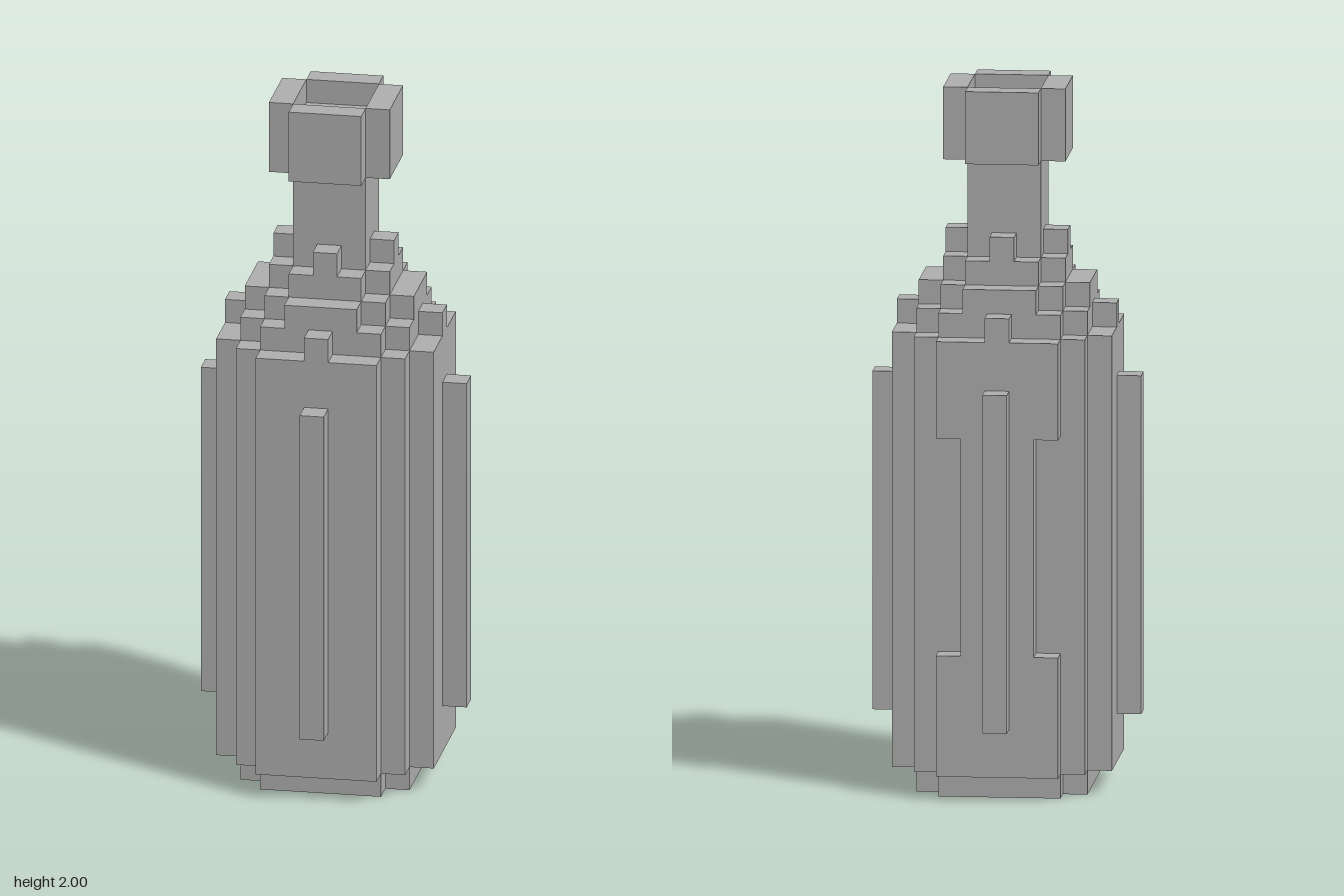
import * as THREE from 'three';

const U = 2 / 29; // one block

export function createModel() {
  const bottle = new THREE.Group();
  bottle.name = 'bottle';
  const grey = new THREE.MeshStandardMaterial({ color: 0xb0b0b0 });
  grey.name = 'grey';

  const add = (name, geometry) => {
    const mesh = new THREE.Mesh(geometry, grey);
    mesh.name = name;
    bottle.add(mesh);
    return mesh;
  };

  // Slab with a stepped outline: one corner of half sizes, turned four times
  const slab = (name, steps, y0, y1, holeHalf = 0) => {
    const corner = [];
    steps.forEach(([x, z], i) => {
      if (i) corner.push([x, steps[i - 1][1]]);
      corner.push([x, z]);
    });
    const outline = [];
    for (let q = 0; q < 4; q++) {
      for (let [x, z] of corner) {
        for (let k = 0; k < q; k++) [x, z] = [-z, x];
        outline.push(new THREE.Vector2(x * U, z * U));
      }
    }
    const shape = new THREE.Shape(outline);
    if (holeHalf) {
      const h = holeHalf * U;
      shape.holes.push(new THREE.Path([[-h, -h], [-h, h], [h, h], [h, -h]].map(p => new THREE.Vector2(...p))));
    }
    const g = new THREE.ExtrudeGeometry(shape, { depth: (y1 - y0) * U, bevelEnabled: false });
    g.rotateX(-Math.PI / 2).translate(0, y0 * U, 0);
    add(name, g);
  };

  // Box one block thick whose outer face lies on the given side (0 front, 1 left, 2 back, 3 right)
  const plate = (name, side, width, y0, y1, inner) => {
    const g = new THREE.BoxGeometry(width * U, (y1 - y0) * U, U);
    g.translate(0, (y0 + y1) / 2 * U, (inner + 0.5) * U);
    add(name, g).rotation.y = side * Math.PI / 2;
  };

  // Foot, body core and stepped shoulder
  slab('foot', [[3.5, 2.5], [2.5, 3.5]], 0, 1);
  slab('bodyCore', [[3.5, 3.5]], 1, 19);
  slab('lowerShoulder', [[3.5, 2.5], [2.5, 3.5]], 19, 20);
  slab('middleShoulder', [[3.5, 1.5], [2.5, 2.5], [1.5, 3.5]], 20, 21);
  slab('upperShoulder', [[2.5, 1.5], [1.5, 2.5]], 21, 22);

  // Neck with a narrow bore
  slab('neck', [[1.5, 1.5]], 22, 28, 0.5);

  for (let side = 0; side < 4; side++) {
    // Wall panels; the back one is notched along both edges
    if (side === 2) {
      plate('backPanelBottom', side, 5, 1, 6, 3.5);
      plate('backPanelMiddle', side, 3, 6, 15, 3.5);
      plate('backPanelTop', side, 5, 15, 19, 3.5);
    } else {
      plate('wallPanel', side, 5, 1, 19, 3.5);
    }
    plate('rib', side, 1, 3, 17, 4.5);
    plate('panelTab', side, 1, 19, 20, 3.5);
    plate('shoulderTab', side, 1, 22, 23, 1.5);
    // Rim around the mouth
    plate('rimPlate', side, 3, 26, 29, 1.5);
  }
  return bottle;
}
